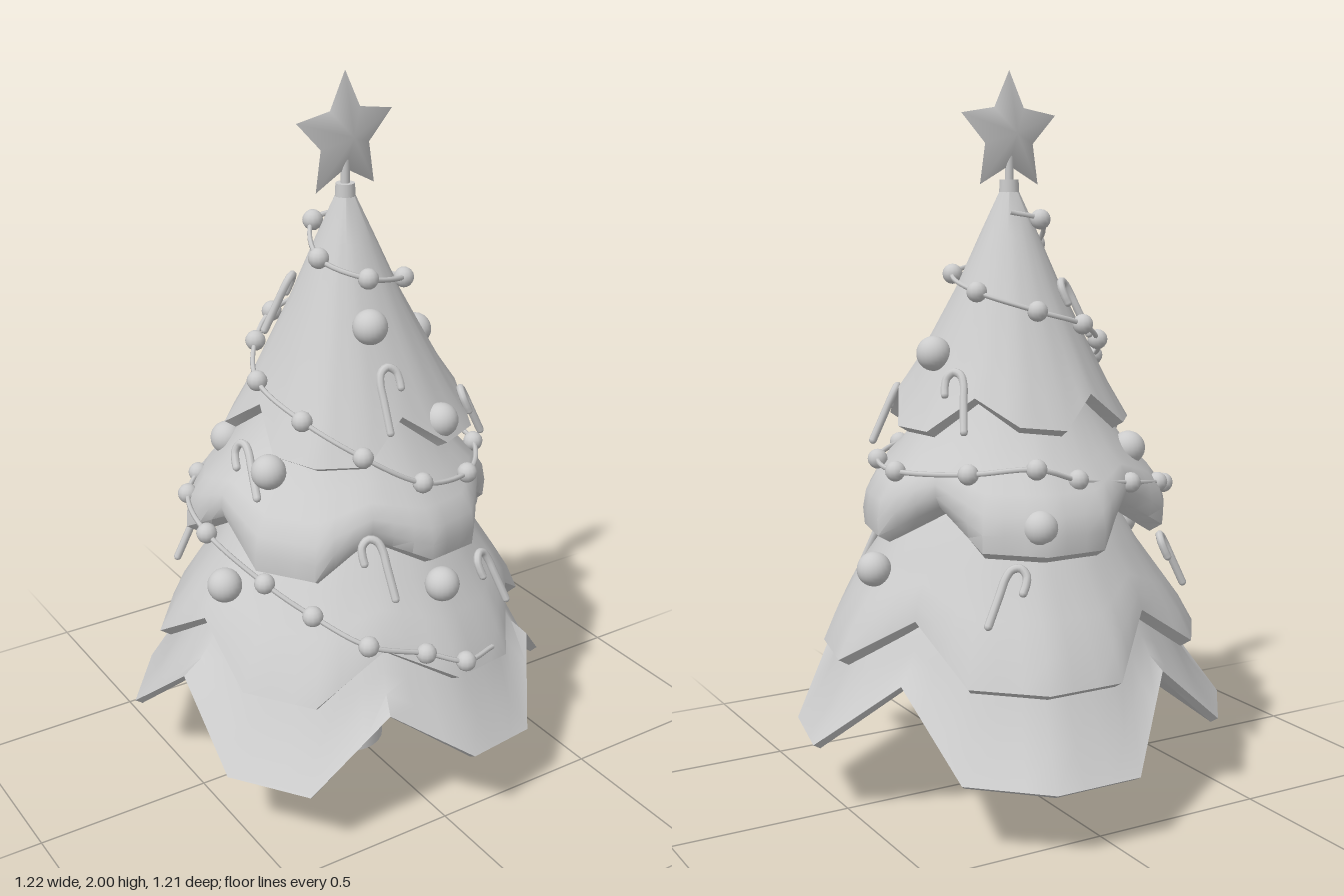
import * as THREE from 'three';
import { toCreasedNormals } from 'three/addons/utils/BufferGeometryUtils.js';

const grey = () => new THREE.MeshStandardMaterial({ color: 0xcccccc });
const V = (x, y, z) => new THREE.Vector3(x, y, z);

// Five-lobed hem outline: x, z, and rise (1 in the notches between lobes)
const HEM = [
  [0.02, 0.6, 0.3], [0.25, 0.54, 0.15], [0.38, 0.36, 1], [0.56, 0.2, 0.1], [0.61, -0.03, 0.1], [0.44, -0.22, 1],
  [0.39, -0.46, 0.05], [0.2, -0.61, 0], [-0.05, -0.61, 0], [-0.23, -0.45, 1], [-0.46, -0.4, 0.1],
  [-0.61, -0.2, 0.1], [-0.56, 0.03, 1], [-0.56, 0.27, 0.1], [-0.42, 0.47, 0.1], [-0.19, 0.5, 1],
];

// Bough tier: round profile rings [radius, y] blending into the zigzag hem, then a lip and hollow underside
function tier({ scale, low, amp, lip, profile, turn = 0 }) {
  const sub = 3, hem = [];
  HEM.forEach((a, i) => {
    const b = HEM[(i + 1) % HEM.length];
    for (let k = 0; k < sub; k++) {
      const [x, z, v] = a.map((c, j) => c + (b[j] - c) * k / sub);
      hem.push({ a: Math.atan2(x, z) + turn, r: Math.hypot(x, z) * scale, y: low + amp * v });
    }
  });
  const n = hem.length;
  const meanR = hem.reduce((s, h) => s + h.r, 0) / n;
  const meanY = hem.reduce((s, h) => s + h.y, 0) / n;
  const pos = [], index = [];
  const ring = (f) => hem.forEach((h) => {
    const [r, y] = f(h);
    pos.push(Math.sin(h.a) * r, y, Math.cos(h.a) * r);
  });
  const topY = profile[0][1];
  profile.forEach(([r, y]) => {
    const w = ((topY - y) / (topY - meanY)) ** 2;
    ring((h) => [r + (h.r - meanR) * w, y + (h.y - meanY) * w]);
  });
  ring((h) => [h.r, h.y]);
  ring((h) => [h.r - lip, h.y - lip * 0.6]);
  ring((h) => [meanR * 0.62 + (h.r - meanR) * 0.4, meanY + 0.1 + (h.y - meanY) * 0.5]);
  ring(() => [0.05, meanY + 0.22]);
  const rows = pos.length / 3 / n;
  for (let r = 0; r < rows - 1; r++) {
    for (let i = 0; i < n; i++) {
      const j = (i + 1) % n, u = r * n, l = u + n;
      index.push(l + i, l + j, u + j, l + i, u + j, u + i);
    }
  }
  const geo = new THREE.BufferGeometry();
  geo.setAttribute('position', new THREE.Float32BufferAttribute(pos, 3));
  geo.setIndex(index);
  return toCreasedNormals(geo, 0.75);
}

// Star: a ten-point rim joined to a raised centre on each side
function starGeometry(R, r, depth) {
  const rim = [], pos = [];
  for (let i = 0; i < 10; i++) {
    const a = Math.PI / 2 + i * Math.PI / 5, q = i % 2 ? r : R;
    rim.push([Math.cos(a) * q, Math.sin(a) * q, 0]);
  }
  rim.forEach((p, i) => {
    const q = rim[(i + 1) % 10];
    pos.push(...p, ...q, 0, 0, depth, ...q, ...p, 0, 0, -depth);
  });
  const geo = new THREE.BufferGeometry();
  geo.setAttribute('position', new THREE.Float32BufferAttribute(pos, 3));
  return toCreasedNormals(geo, 1);
}

export function createModel() {
  const tree = new THREE.Group();
  tree.name = 'decoratedTree';
  const add = (name, geo, x = 0, y = 0, z = 0, parent = tree) => {
    const m = new THREE.Mesh(geo, grey());
    m.name = name;
    m.position.set(x, y, z);
    parent.add(m);
    return m;
  };

  // Trunk
  add('trunk', new THREE.CylinderGeometry(0.1, 0.11, 0.6, 24), -0.01, 0.3, 0);

  // Bough tiers, bottom to top
  const tiers = [
    { scale: 1, low: 0.19, amp: 0.21, lip: 0.02,
      profile: [[0.25, 0.8], [0.39, 0.57], [0.475, 0.42], [0.52, 0.34]] },
    { scale: 0.87, low: 0.42, amp: 0.14, lip: 0.03,
      profile: [[0.2, 0.95], [0.32, 0.79], [0.37, 0.7], [0.43, 0.61], [0.475, 0.54]] },
    { scale: 0.7, low: 0.75, amp: 0.1, lip: 0.035,
      profile: [[0.16, 1.22], [0.25, 1.08], [0.325, 0.97], [0.375, 0.92], [0.405, 0.875], [0.412, 0.83]] },
    { scale: 0.55, low: 1.04, amp: 0.1, lip: 0.03, turn: 2.67,
      profile: [[0.02, 1.69], [0.08, 1.56], [0.15, 1.4], [0.215, 1.27], [0.265, 1.17]] },
  ];
  tiers.forEach((t, i) => add('boughTier' + (i + 1), tier(t), [0, 0, -0.02, -0.012][i], 0, 0));

  // Star with its holder
  add('starSocket', new THREE.CylinderGeometry(0.026, 0.028, 0.035, 16), -0.012, 1.69, 0);
  add('starStem', new THREE.CylinderGeometry(0.012, 0.012, 0.09, 12), -0.012, 1.74, 0);
  add('star', starGeometry(0.169, 0.086, 0.038), -0.012, 1.831, 0).rotation.y = 0.13;

  // Garland spiralling down the tree, with a bead at each point
  const beads = [
    [-0.07, 1.6, -0.07], [-0.12, 1.53, 0.04], [-0.03, 1.485, 0.14], [0.12, 1.45, 0.085], [0.14, 1.41, -0.09],
    [0.01, 1.36, -0.19], [-0.13, 1.32, -0.195], [-0.22, 1.27, -0.13], [-0.29, 1.21, 0], [-0.26, 1.15, 0.18],
    [-0.155, 1.07, 0.31], [0, 0.98, 0.36], [0.175, 0.95, 0.32], [0.33, 0.94, 0.14], [0.36, 0.935, -0.035],
    [0.255, 0.95, -0.25], [0.12, 0.97, -0.37], [-0.01, 0.93, -0.365], [-0.2, 0.9, -0.33], [-0.36, 0.87, -0.23],
    [-0.43, 0.85, -0.16], [-0.49, 0.84, 0.065], [-0.41, 0.74, 0.23], [-0.33, 0.67, 0.34], [-0.23, 0.605, 0.455],
    [-0.07, 0.55, 0.49], [0.04, 0.505, 0.52],
  ];
  const path = [[0.02, 1.62, -0.06], ...beads, [0.16, 0.49, 0.48]].map((p) => V(...p));
  add('garlandString', new THREE.TubeGeometry(new THREE.CatmullRomCurve3(path), 200, 0.007, 6));
  const beadGeo = new THREE.SphereGeometry(0.028, 12, 8);
  beads.forEach((p) => add('garlandBead', beadGeo, ...p));

  // Baubles
  const baubles = [
    [-0.06, 1.375, 0.195], [0.24, 1.245, -0.03], [0.12, 1.1, 0.27], [-0.34, 1.01, 0.14], [-0.28, 0.97, -0.2],
    [0.12, 0.82, -0.39], [0.02, 0.705, 0.43], [0.42, 0.67, -0.02], [-0.46, 0.69, 0.1],
  ];
  const ballGeo = new THREE.SphereGeometry(0.047, 20, 14);
  baubles.forEach((p) => add('bauble', ballGeo, ...p));

  // Candy canes: x, y, z, roll, hook side
  const canes = [
    [-0.045, 1.2, 0.28, 0.05, 1], [-0.18, 0.8, 0.42, 0.2, -1], [0.2, 0.66, 0.41, 0.15, -1],
    [0.28, 1.06, 0.19, 0.2, -1], [0.25, 1.13, -0.17, 0.2, -1], [-0.13, 1.36, -0.15, 0.2, -1],
    [-0.36, 0.98, 0.05, 0.7, -1], [-0.36, 0.66, -0.3, 0.2, -1], [0.22, 0.65, -0.4, -0.35, 1],
  ];
  const caneCurve = new THREE.CatmullRomCurve3([
    V(-0.025, -0.085, 0), V(-0.025, 0, 0), V(-0.025, 0.045, 0), V(-0.017, 0.072, 0),
    V(0.003, 0.083, 0), V(0.024, 0.07, 0), V(0.03, 0.045, 0), V(0.03, 0.025, 0),
  ]);
  const caneGeo = new THREE.TubeGeometry(caneCurve, 28, 0.011, 8);
  const tipGeo = new THREE.SphereGeometry(0.011, 8, 6);
  canes.forEach(([x, y, z, roll, side]) => {
    const g = new THREE.Group();
    g.name = 'candyCane';
    g.position.set(x, y, z);
    g.rotation.set(-0.4, Math.atan2(x, z), roll, 'YXZ');
    const body = add('caneBody', caneGeo, 0, 0, 0, g);
    if (side < 0) body.rotation.y = Math.PI;
    add('caneFoot', tipGeo, -0.025 * side, -0.085, 0, g);
    add('caneHookTip', tipGeo, 0.03 * side, 0.025, 0, g);
    tree.add(g);
  });

  return tree;
}
